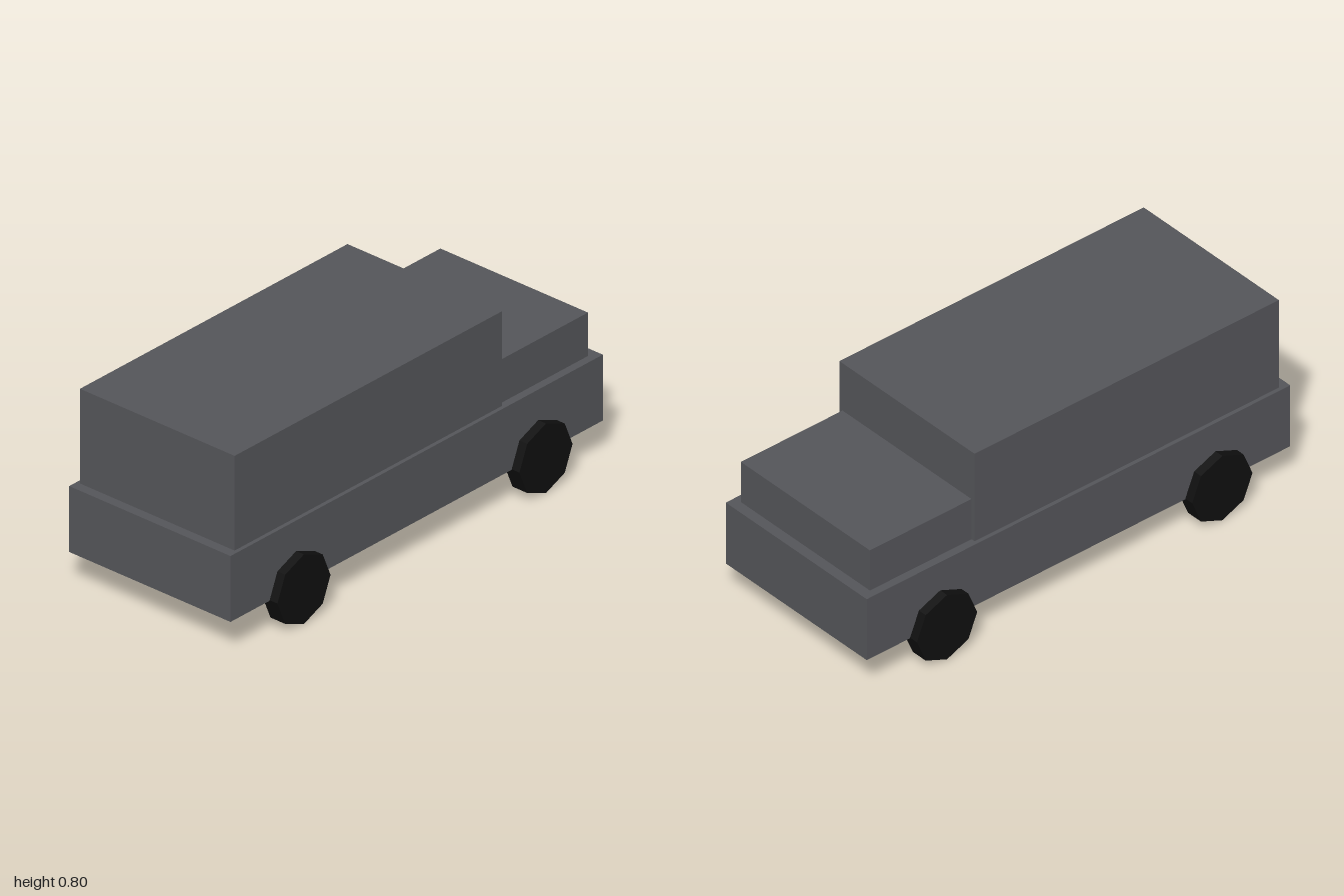
import * as THREE from 'three';

export function createModel() {
  const group = new THREE.Group();
  const paint = new THREE.MeshStandardMaterial({ color: 0x545559 });
  paint.name = 'grey paint';
  const rubber = new THREE.MeshStandardMaterial({ color: 0x0f0f0f, flatShading: true });
  rubber.name = 'black rubber';

  // Box given by its x and y limits and its half width in z
  function addBox(name, x0, x1, y0, y1, halfWidth) {
    const mesh = new THREE.Mesh(new THREE.BoxGeometry(x1 - x0, y1 - y0, halfWidth * 2), paint);
    mesh.position.set((x0 + x1) / 2, (y0 + y1) / 2, 0);
    mesh.name = name;
    group.add(mesh);
  }

  addBox('lowerBody', -1, 1, 0.14, 0.41, 0.388);
  addBox('cabin', -0.96, 0.477, 0.41, 0.798, 0.372);
  addBox('hood', 0.477, 0.957, 0.41, 0.588, 0.355);

  // Eight-sided wheels, resting on a corner
  const radius = 0.1425;
  const wheelGeometry = new THREE.CylinderGeometry(radius, radius, 0.071, 8).rotateX(Math.PI / 2);
  for (const [end, x] of [['rear', -0.647], ['front', 0.653]]) {
    for (const [side, z] of [['Right', 0.39], ['Left', -0.39]]) {
      const wheel = new THREE.Mesh(wheelGeometry, rubber);
      wheel.position.set(x, radius, z);
      wheel.name = `${end}${side}Wheel`;
      group.add(wheel);
    }
  }
  return group;
}
